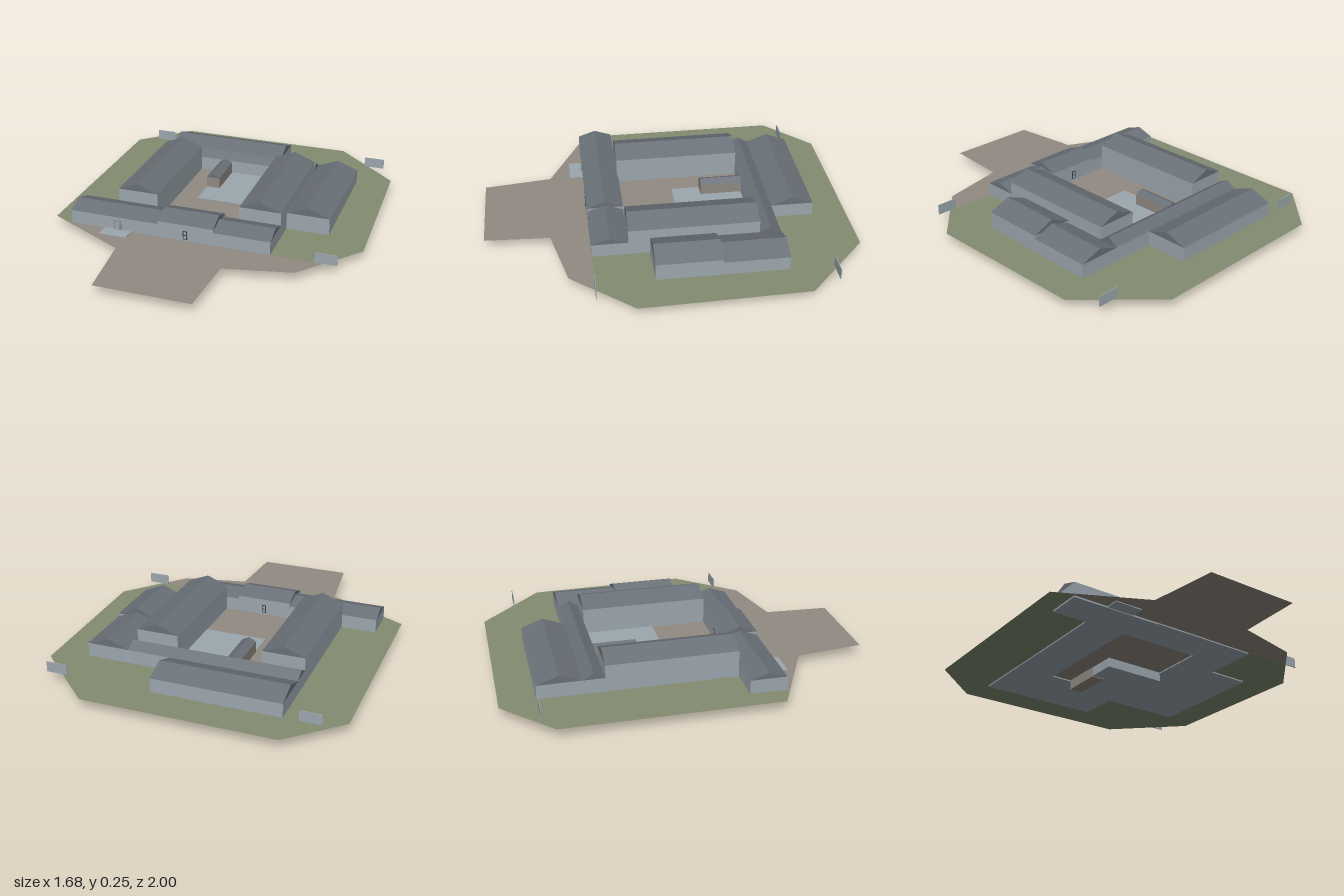
import * as THREE from 'three';

const mat = (name, color, side = THREE.FrontSide) => {
  const m = new THREE.MeshStandardMaterial({ color, side });
  m.name = name;
  return m;
};

export function createModel() {
  const wall = mat('pale blue grey wall', 0x9ba7ae, THREE.DoubleSide);
  const roof = mat('slate roof', 0x697077);
  const grass = mat('grass green', 0x838d72, THREE.DoubleSide);
  const earth = mat('earth brown', 0x918a82, THREE.DoubleSide);
  const dark = mat('dark glass', 0x3a4045);

  const model = new THREE.Group();
  model.name = 'courtyardCompound';
  const GROUND = 0.057, BASE = 0.05;

  const add = (parent, name, geometry, material) => {
    const mesh = new THREE.Mesh(geometry, material);
    mesh.name = name;
    parent.add(mesh);
    return mesh;
  };

  // Box given by its low and high corners
  const block = (parent, name, x0, x1, y0, y1, z0, z1, material) =>
    add(parent, name, new THREE.BoxGeometry(x1 - x0, y1 - y0, z1 - z0), material)
      .position.set((x0 + x1) / 2, (y0 + y1) / 2, (z0 + z1) / 2);

  // Walls with a gabled roof whose ridge runs along x or z
  function house(name, x0, x1, z0, z1, eave, ridge, axis, base = BASE, wallMat = wall) {
    const g = new THREE.Group();
    g.name = name;
    model.add(g);
    block(g, 'walls', x0, x1, base, eave, z0, z1, wallMat);
    const span = axis === 'x' ? z1 - z0 : x1 - x0;
    const depth = axis === 'x' ? x1 - x0 : z1 - z0;
    const gable = new THREE.Shape([
      new THREE.Vector2(-span / 2, 0), new THREE.Vector2(span / 2, 0), new THREE.Vector2(0, ridge - eave),
    ]);
    const geo = new THREE.ExtrudeGeometry(gable, { depth, bevelEnabled: false });
    geo.translate(0, 0, -depth / 2);
    if (axis === 'x') geo.rotateY(Math.PI / 2);
    add(g, 'roof', geo, roof).position.set((x0 + x1) / 2, eave, (z0 + z1) / 2);
  }

  // Flat ground from [x, z] points, with optional hole
  function ground(name, points, material, y, hole) {
    const v = (pts) => pts.map(([x, z]) => new THREE.Vector2(x, -z));
    const shape = new THREE.Shape(v(points));
    if (hole) shape.holes.push(new THREE.Path(v(hole)));
    const geo = new THREE.ShapeGeometry(shape);
    geo.rotateX(-Math.PI / 2);
    add(model, name, geo, material).position.y = y;
  }

  // Lawn, courtyard and forecourt with its drive
  const court = [[-0.305, -0.46], [0.165, -0.46], [0.165, 0.24], [-0.305, 0.24]];
  ground('lawn', [
    [-0.58, -1], [0.455, -1], [0.82, -0.655], [0.84, 0.24], [0.672, 0.435], [-0.765, 0.435],
    [-0.845, 0.395], [-0.845, -0.75],
  ], grass, GROUND, court);
  ground('courtyard', court, earth, GROUND);
  ground('forecourt', [
    [-0.765, 0.435], [0.672, 0.435], [0.56, 0.565], [0.2, 0.645], [0.18, 1], [-0.34, 1], [-0.385, 0.625],
  ], earth, GROUND);

  // Back range and the lower range joining the wings
  house('backRange', -0.535, 0.16, -0.81, -0.575, 0.133, 0.176, 'x');
  house('rearLinkRange', -0.535, 0.395, -0.575, -0.46, 0.133, 0.168, 'x');

  // Tall wings either side of the courtyard
  for (const [name, x0, x1] of [['rightWing', -0.535, -0.305], ['leftWing', 0.163, 0.395]])
    house(name, x0, x1, -0.46, 0.24, 0.202, 0.248, 'z');

  // Outer range in two heights
  house('outerRangeBack', 0.395, 0.63, -0.575, -0.225, 0.133, 0.176, 'z');
  house('outerRangeFront', 0.395, 0.63, -0.225, 0.125, 0.15, 0.198, 'z');

  // Gate range along the front, raised in the middle
  house('gateRangeRight', -0.73, -0.225, 0.24, 0.435, 0.131, 0.164, 'x', 0.048);
  house('gateHall', -0.225, 0.085, 0.238, 0.437, 0.15, 0.187, 'x');
  house('gateRangeLeft', 0.085, 0.395, 0.24, 0.435, 0.131, 0.164, 'x');

  // Sunken pool and the small pavilion beside it
  block(model, 'pool', -0.185, 0.165, 0.004, GROUND + 0.003, -0.458, -0.065, wall);
  house('pavilion', -0.187, -0.11, -0.459, -0.225, 0.122, 0.142, 'z', 0, earth);

  // Side door with frame and pale landing
  block(model, 'landing', -0.535, -0.38, 0.052, GROUND + 0.004, 0.435, 0.51, wall);
  block(model, 'doorFrame', -0.479, -0.437, GROUND, 0.112, 0.435, 0.44, earth);
  block(model, 'doorLeaf', -0.472, -0.444, GROUND, 0.106, 0.44, 0.443, wall);

  // Hall windows, front and courtyard side
  for (const [z, s] of [[0.437, 1], [0.238, -1]]) {
    const layer = (name, x0, x1, y0, y1, d, m) =>
      block(model, name, x0, x1, y0, y1, Math.min(z, z + s * d), Math.max(z, z + s * d), m);
    layer('windowFrame', -0.082, -0.058, 0.068, 0.116, 0.003, dark);
    for (const y of [0.072, 0.095]) layer('windowPane', -0.077, -0.063, y, y + 0.017, 0.005, wall);
  }

  // Thin upright boards at three corners
  for (const [x, z] of [[0.688, 0.435], [0.688, -0.81], [-0.675, -0.81]])
    block(model, 'cornerBoard', x - 0.058, x + 0.058, 0.06, 0.117, z - 0.002, z + 0.002, wall);

  return model;
}
